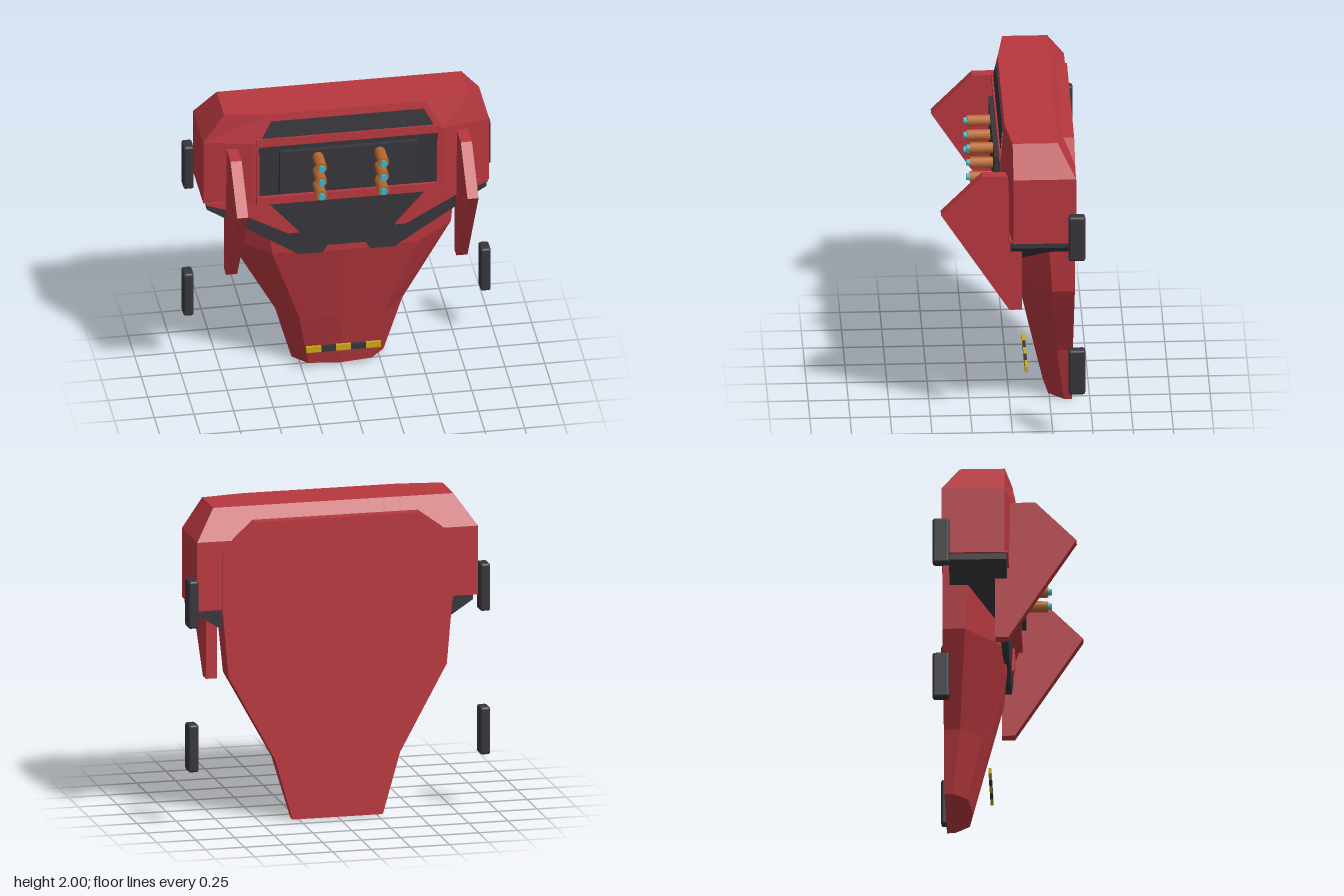
import * as THREE from 'three';
import { RoundedBoxGeometry } from 'three/addons/geometries/RoundedBoxGeometry.js';

const mat = (name, color) => Object.assign(new THREE.MeshStandardMaterial({ color }), { name });

// Mirrored cross-sections stacked along y; each half runs from the centre front to the back
function loft(rows) {
  const loops = rows.map(([y, half]) => [
    ...half.slice(1).reverse().map(([x, z]) => [-x, y, z]),
    ...half.map(([x, z]) => [x, y, z]),
  ]);
  const out = [];
  const n = loops[0].length;
  for (let i = 0; i < loops.length - 1; i++) {
    for (let j = 0; j < n; j++) {
      const k = (j + 1) % n;
      const [a, b, c, d] = [loops[i][j], loops[i][k], loops[i + 1][k], loops[i + 1][j]];
      out.push(...a, ...b, ...c, ...a, ...c, ...d);
    }
  }
  const low = loops[0], high = loops[loops.length - 1];
  for (let j = 1; j < n - 1; j++) {
    out.push(...low[0], ...low[j + 1], ...low[j]);
    out.push(...high[0], ...high[j], ...high[j + 1]);
  }
  const g = new THREE.BufferGeometry();
  g.setAttribute('position', new THREE.Float32BufferAttribute(out, 3));
  g.computeVertexNormals();
  return g;
}

// Flat outline extruded from z0 to z1
function slab(points, z0, z1) {
  const shape = new THREE.Shape(points.map(([x, y]) => new THREE.Vector2(x, y)));
  return new THREE.ExtrudeGeometry(shape, { depth: z1 - z0, bevelEnabled: false }).translate(0, 0, z0);
}

const mirrored = (half) => [...half, ...half.slice().reverse().map(([x, y]) => [-x, y])];

export function createModel() {
  const model = new THREE.Group();
  model.name = 'armouredPack';
  const red = mat('red', 0xb8383f);
  const dark = mat('darkGrey', 0x36363c);
  const copper = mat('copper', 0xb8682f);
  const cyan = mat('cyan', 0x35b8cc);
  const yellow = mat('yellow', 0xcaa817);

  const add = (name, geometry, material, x = 0, y = 0, z = 0) => {
    const m = new THREE.Mesh(geometry, material);
    m.name = name;
    m.position.set(x, y, z);
    model.add(m);
    return m;
  };
  const box = (w, h, d) => new THREE.BoxGeometry(w, h, d);

  // Tapering lower hull
  add('lowerHull', loft([
    [0, [[0, -0.22], [0.2, -0.245], [0.29, -0.34], [0.29, -0.39]]],
    [0.39, [[0, -0.13], [0.27, -0.155], [0.4, -0.29], [0.4, -0.39]]],
    [0.94, [[0, -0.01], [0.46, -0.04], [0.7, -0.25], [0.7, -0.39]]],
    [1.4, [[0, -0.01], [0.52, -0.03], [0.74, -0.22], [0.74, -0.39]]],
  ]), red);

  // Back plate rising behind the upper body
  add('backPlate', slab(mirrored([[0.74, 1.35], [0.74, 1.72], [0.67, 1.82], [0.53, 1.92]]), -0.393, -0.3), red);

  // Chamfered upper body
  add('upperBody', loft([
    [1.37, [[0, 0.045], [0.6, 0.045], [0.9, 0], [0.9, -0.39]]],
    [1.81, [[0, 0.065], [0.6, 0.065], [0.9, 0], [0.9, -0.39]]],
    [2, [[0, 0.04], [0.49, 0.04], [0.77, 0], [0.77, -0.28]]],
  ]), red);

  // Dark collar with a notch at its lower edge
  add('collar', slab(mirrored([
    [0.12, 1], [0.15, 0.95], [0.3, 0.95], [0.88, 1.33], [0.88, 1.38],
  ]), -0.345, 0.012), dark);

  // Red fins reaching down over the collar
  for (const s of [1, -1]) {
    const pts = [[0.53, 1.38], [0.3, 1.115], [0.37, 1.115], [0.7, 1.3], [0.89, 1.37], [0.89, 1.38]];
    add('collarFin', slab(pts.map(([x, y]) => [s * x, y]), 0, 0.025), red);
  }

  // Front window, its bars and the launcher panel
  add('windowPlate', box(1.13, 0.36, 0.008), dark, 0, 1.6, 0.058).rotation.x = 0.045;
  for (const s of [1, -1]) {
    add('windowSide', box(0.018, 0.4, 0.02), red, s * 0.568, 1.6, 0.058);
  }
  add('upperBar', box(1.15, 0.055, 0.03), red, 0, 1.812, 0.061);
  add('lowerBar', box(1.15, 0.055, 0.03), red, 0, 1.392, 0.058);
  add('launcherPanel', box(0.87, 0.3, 0.045), dark, 0, 1.6, 0.077);

  // Upper slot on the sloping front face
  const slot = add('upperSlot', slab(mirrored([[0.54, -0.056], [0.48, 0.056]]), -0.004, 0.004), dark, 0, 1.895, 0.0545);
  slot.rotation.x = -Math.atan2(0.025, 0.19);

  // Launcher tubes with glowing tips
  const tube = new THREE.CylinderGeometry(0.035, 0.035, 0.15, 10).rotateX(Math.PI / 2);
  const tip = new THREE.CylinderGeometry(0.021, 0.021, 0.04, 10).rotateX(Math.PI / 2);
  for (const x of [-0.195, 0.195]) {
    for (const y of [1.5, 1.6, 1.7]) {
      add('launcherTube', tube, copper, x, y, 0.167);
      add('launcherTip', tip, cyan, x, y, 0.244);
    }
  }

  // Angular side arms, drawn in profile and turned to face sideways
  const arm = slab([[-0.445, 1.51], [-0.02, 0.85], [0.06, 0.85], [0.06, 1.77], [-0.19, 1.77]], -0.035, 0.035)
    .rotateY(Math.PI / 2);
  // Corner pads
  const pad = new RoundedBoxGeometry(0.066, 0.305, 0.105, 2, 0.016);
  for (const s of [1, -1]) {
    add('sideArm', arm, red, s * 0.725, 0, 0);
    for (const y of [0.505, 1.425]) add('cornerPad', pad, dark, s * 0.935, y, -0.392);
  }

  // Hazard strip
  for (let i = 0; i < 5; i++) {
    add('hazardStripe', box(0.094, 0.04, 0.018), i % 2 ? dark : yellow, (i - 2) * 0.094, 0.18, -0.108);
  }

  return model;
}
